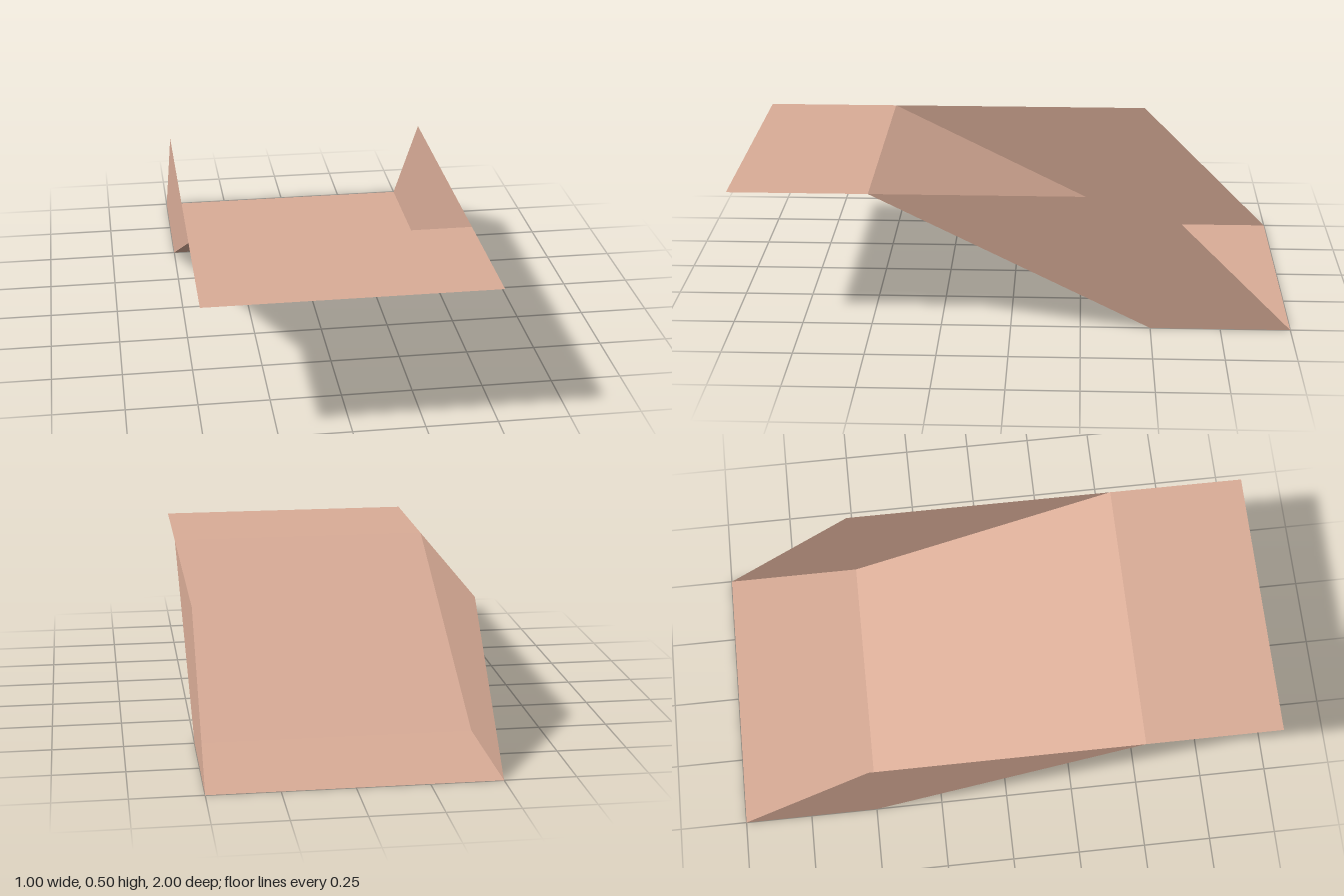
import * as THREE from 'three';

const WIDTH = 1;

export function createModel() {
  const model = new THREE.Group();
  model.name = 'slide';
  const clay = new THREE.MeshStandardMaterial({ color: 0xd9ac97, side: THREE.DoubleSide });
  clay.name = 'clay';

  // Open sheet across the width, running from front [z, y] to back [z, y]
  function addPanel(name, [z0, y0], [z1, y1]) {
    const dz = z1 - z0, dy = y1 - y0;
    const geometry = new THREE.PlaneGeometry(WIDTH, Math.hypot(dz, dy));
    geometry.rotateX(Math.atan2(dz, dy));
    const mesh = new THREE.Mesh(geometry, clay);
    mesh.name = name;
    mesh.position.set(0, (y0 + y1) / 2, (z0 + z1) / 2);
    model.add(mesh);
  }

  // Raised front shelf, ramp and low back floor
  addPanel('frontShelf', [1, 0.5], [0.5, 0.5]);
  addPanel('ramp', [0.5, 0.5], [-0.5, 0]);
  addPanel('backFloor', [-0.5, 0], [-1, 0]);

  // Side walls, drawn in z and y then turned to face sideways
  const outline = [[0.5, 0.5], [-0.5, 0.5], [-1, 0], [-0.5, 0]];
  const shape = new THREE.Shape(outline.map(([z, y]) => new THREE.Vector2(z, y)));
  const wallGeometry = new THREE.ShapeGeometry(shape).rotateY(-Math.PI / 2);
  for (const [name, side] of [['leftWall', 1], ['rightWall', -1]]) {
    const wall = new THREE.Mesh(wallGeometry, clay);
    wall.name = name;
    wall.position.x = side * WIDTH / 2;
    model.add(wall);
  }

  return model;
}
